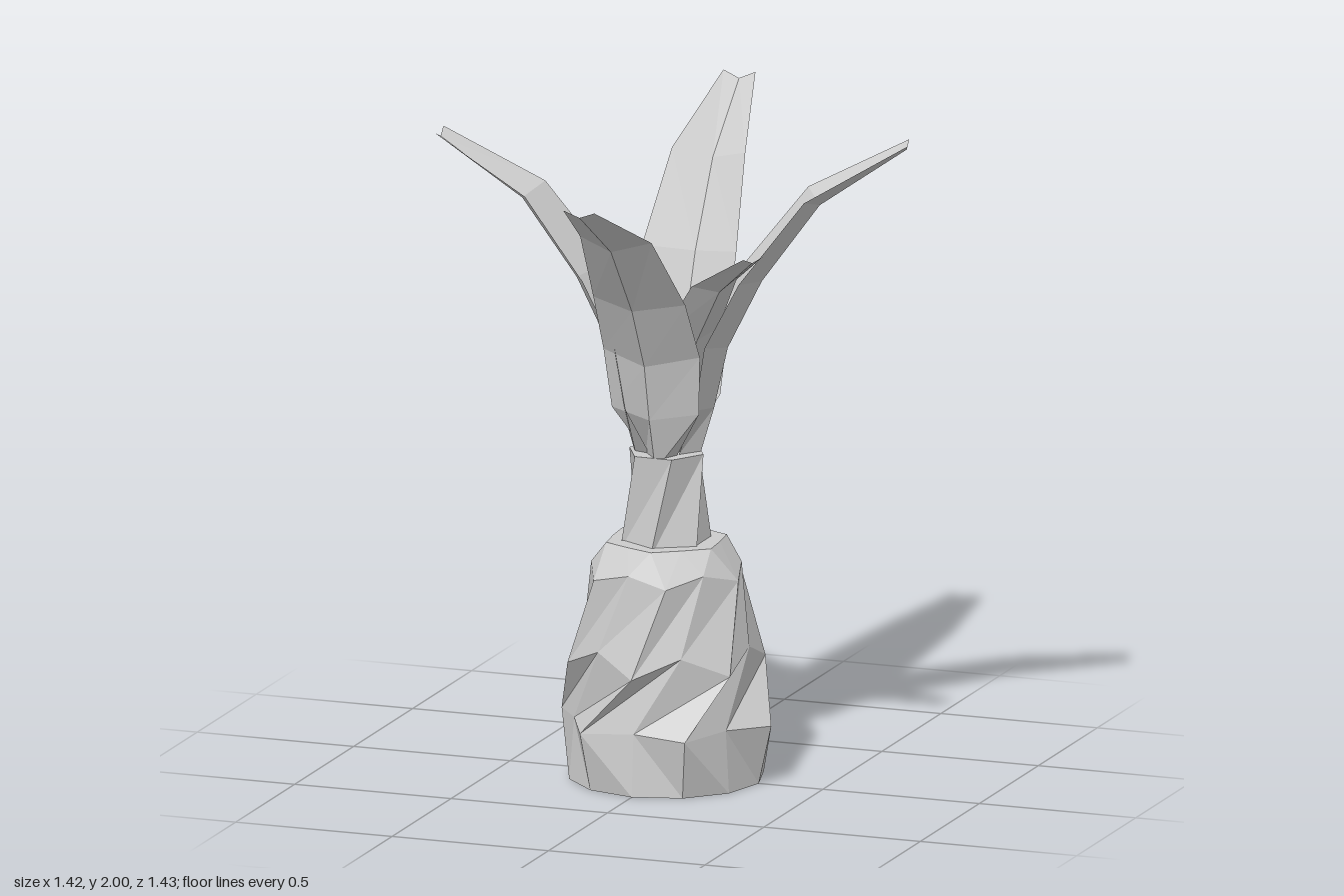
import * as THREE from 'three';

const material = new THREE.MeshStandardMaterial({ color: 0xcccccc, side: THREE.DoubleSide, flatShading: true });
material.name = 'plain grey';

const rad = THREE.MathUtils.degToRad;

// Faceted mesh from points and triangles
function facetedMesh(name, points, faces) {
  const indexed = new THREE.BufferGeometry();
  indexed.setAttribute('position', new THREE.Float32BufferAttribute(points, 3));
  indexed.setIndex(faces);
  const geometry = indexed.toNonIndexed();
  geometry.computeVertexNormals();
  const mesh = new THREE.Mesh(geometry, material);
  mesh.name = name;
  return mesh;
}

// Closed loft through rings whose corners alternate between ridge and valley
function twistedLoft(name, sides, rings) {
  const points = [], faces = [];
  for (const { turn, ridge, valley } of rings) {
    for (let i = 0; i < sides; i++) {
      const [r, y] = i % 2 ? valley : ridge;
      const a = rad(turn) + (i / sides) * Math.PI * 2;
      points.push(r * Math.cos(a), y, r * Math.sin(a));
    }
  }
  const last = (rings.length - 1) * sides;
  const bottom = rings.length * sides, top = bottom + 1;
  points.push(0, rings[0].ridge[1], 0, 0, rings[rings.length - 1].ridge[1], 0);
  for (let i = 0; i < sides; i++) {
    const n = (i + 1) % sides;
    for (let k = 0; k < last; k += sides) {
      faces.push(k + i, k + sides + i, k + n, k + n, k + sides + i, k + sides + n);
    }
    faces.push(bottom, i, n, top, last + n, last + i);
  }
  return facetedMesh(name, points, faces);
}

// Leaf stations: edge radius, edge height, keel radius, keel height, half width
const stations = [
  [0.04, 1.0, 0.09, 0.96, 0.05],
  [0.09, 1.15, 0.14, 1.13, 0.14],
  [0.12, 1.34, 0.18, 1.31, 0.155],
  [0.22, 1.53, 0.28, 1.51, 0.148],
  [0.41, 1.77, 0.45, 1.74, 0.115],
  [0.71, 1.93, 0.705, 1.91, 0.05],
];

// Keeled leaf: two raised edges and a fold along the middle
function leaf({ name, angle, reach, tip, width = 1, shift = 0 }) {
  const points = [], faces = [];
  const c = Math.cos(rad(angle)), s = Math.sin(rad(angle));
  const rise = (tip - 0.97) / (1.93 - 0.97);
  const add = (r, y, side) => {
    const out = shift + r * (reach - shift) / 0.71;
    points.push(out * c - side * s, 0.97 + (y - 0.97) * rise, out * s + side * c);
  };
  stations.forEach(([er, ey, kr, ky, half], i) => {
    add(er, ey, -half * width);
    add(kr, ky, 0);
    add(er, ey, half * width);
    if (i === stations.length - 1) return;
    for (const k of [i * 3, i * 3 + 1]) faces.push(k, k + 3, k + 1, k + 1, k + 3, k + 4);
  });
  return facetedMesh(name, points, faces);
}

export function createModel() {
  const group = new THREE.Group();
  group.name = 'plant';

  // Bulbous base with six spiralling ridges
  group.add(twistedLoft('body', 12, [
    { turn: 90, ridge: [0.295, 0], valley: [0.295, 0] },
    { turn: 120, ridge: [0.335, 0.18], valley: [0.28, 0.19] },
    { turn: 90, ridge: [0.3, 0.36], valley: [0.265, 0.42] },
    { turn: 70, ridge: [0.25, 0.63], valley: [0.225, 0.66] },
    { turn: 84, ridge: [0.187, 0.73], valley: [0.165, 0.73] },
  ]));

  // Six-sided twisted neck
  group.add(twistedLoft('neck', 6, [
    { turn: 90, ridge: [0.14, 0.7], valley: [0.14, 0.7] },
    { turn: 62, ridge: [0.12, 1], valley: [0.12, 1] },
  ]));

  // Crown of four long and two short leaves
  const crown = new THREE.Group();
  crown.name = 'crown';
  [
    { name: 'frontLeaf', angle: 91, reach: 0.71, tip: 1.9 },
    { name: 'backLeaf', angle: -93, reach: 0.72, tip: 2.0 },
    { name: 'rightLeaf', angle: 176, reach: 0.71, tip: 1.94, width: 0.92 },
    { name: 'leftLeaf', angle: -17, reach: 0.725, tip: 1.96, width: 0.92 },
    { name: 'shortFrontLeaf', angle: 36, reach: 0.47, tip: 1.69, width: 0.7, shift: -0.03 },
    { name: 'shortRightLeaf', angle: 175, reach: 0.23, tip: 1.69, width: 0.55, shift: -0.06 },
  ].forEach((spec) => crown.add(leaf(spec)));
  group.add(crown);

  return group;
}
